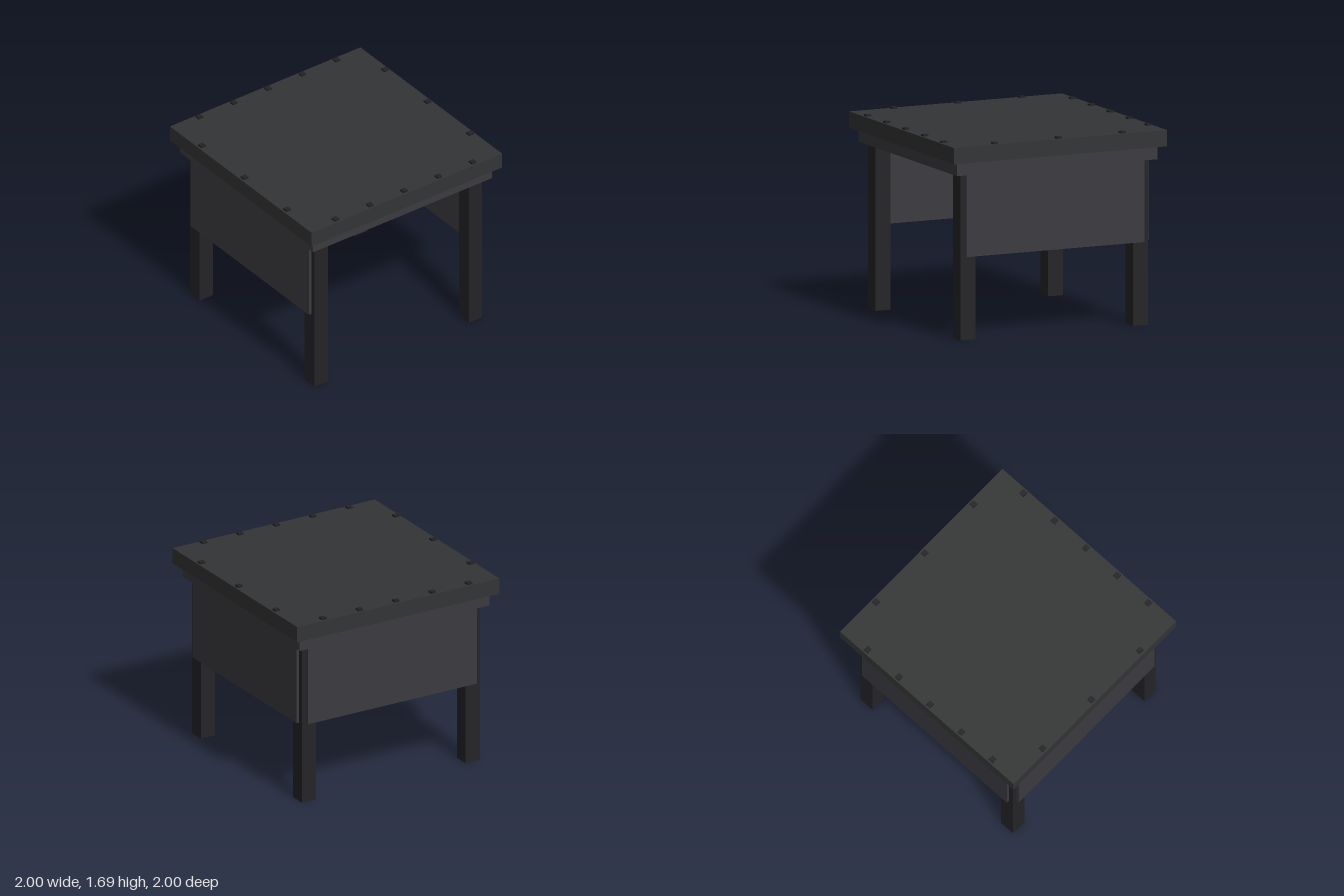
import * as THREE from 'three';

export function createModel() {
  const desk = new THREE.Group();
  desk.name = 'desk';

  const mat = (color) => new THREE.MeshStandardMaterial({ color });
  const topMat = mat(0x333435);
  const panelMat = mat(0x3b3b40);
  const legMat = mat(0x242427);
  const studMat = mat(0x222226);

  // Box with its underside at height y
  function box(name, material, [w, h, d], [x, y, z]) {
    const mesh = new THREE.Mesh(new THREE.BoxGeometry(w, h, d), material);
    mesh.name = name;
    mesh.position.set(x, y + h / 2, z);
    desk.add(mesh);
  }

  // Table top and the smaller slab beneath it
  box('tableTop', topMat, [2, 0.14, 2], [0, 1.535, 0]);
  box('apron', panelMat, [1.88, 0.115, 1.88], [0, 1.42, 0]);

  // Legs and side panels; the front stays open
  for (const s of [-1, 1]) {
    for (const z of [-0.81, 0.81]) {
      box('leg', legMat, [0.14, 1.42, 0.14], [s * 0.81, 0, z]);
    }
    box('sidePanel', panelMat, [0.055, 0.705, 1.67], [s * 0.878, 0.715, 0]);
  }
  box('backPanel', panelMat, [1.67, 0.705, 0.055], [0, 0.715, -0.878]);

  // Small square studs along the four edges of the top
  for (const s of [-1, 1]) {
    for (const x of [-0.72, -0.36, 0, 0.36, 0.72]) {
      box('stud', studMat, [0.047, 0.025, 0.047], [x, 1.665, s * 0.96]);
    }
    for (const z of [-0.6, 0, 0.6]) {
      box('stud', studMat, [0.047, 0.025, 0.047], [s * 0.96, 1.665, z]);
    }
  }

  return desk;
}
